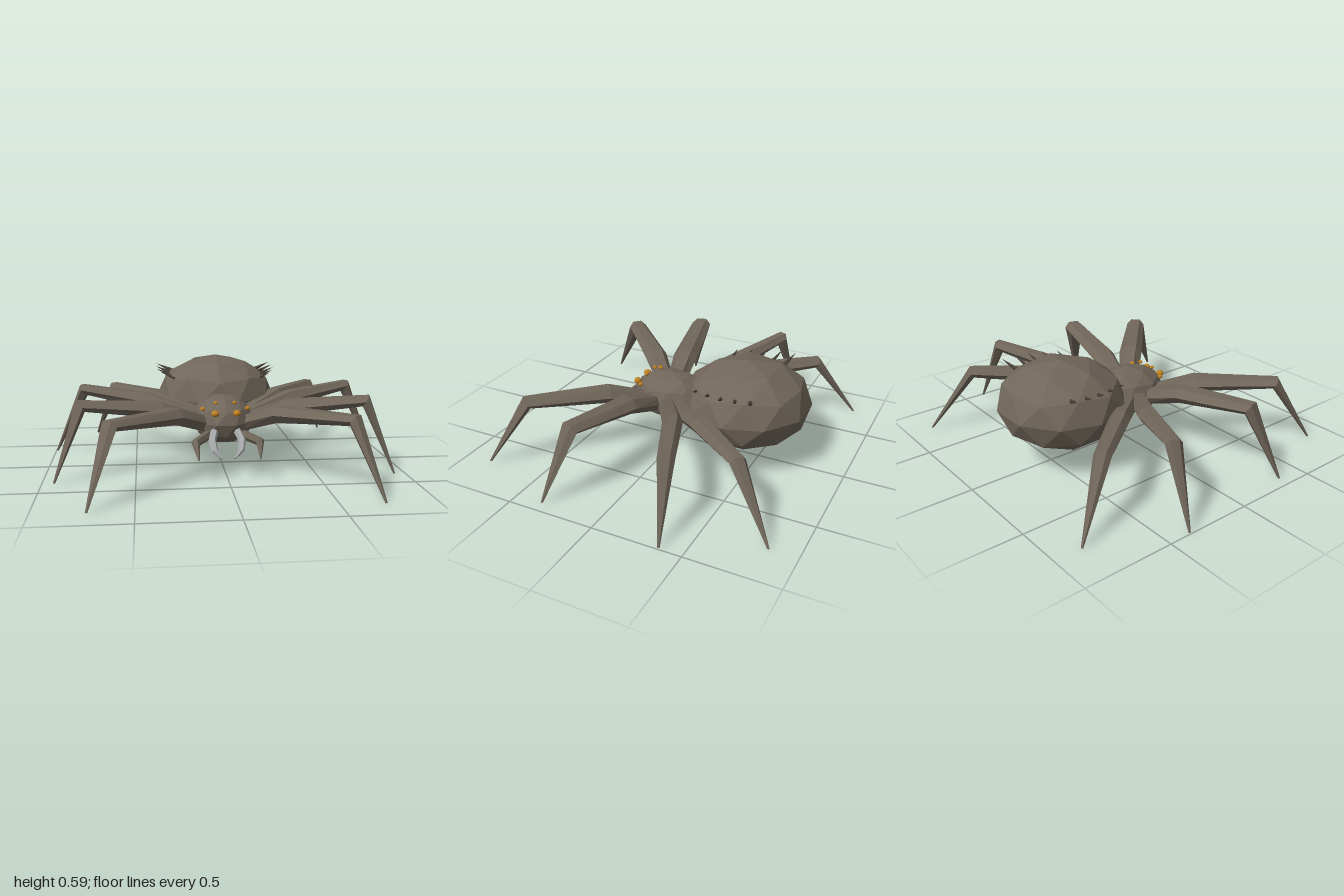
import * as THREE from 'three';

const mat = (name, color) => {
  const m = new THREE.MeshStandardMaterial({ color, flatShading: true });
  m.name = name;
  return m;
};

// Faceted ellipsoid with a vertex straight up and another row pointing forward
function facetedBall(detail, rx, ry, rz) {
  const g = new THREE.IcosahedronGeometry(1, detail);
  g.rotateZ(Math.atan(2 / (1 + Math.sqrt(5))));
  g.rotateY(Math.PI / 2);
  g.scale(rx, ry, rz);
  g.computeVertexNormals();
  return g;
}

// Tapered limb: one polygonal ring per joint, mitred at the bends.
// Each joint is [x, y, z, halfWidth, halfHeight].
function limb(joints, sides) {
  const pts = joints.map(j => new THREE.Vector3(j[0], j[1], j[2]));
  const n = pts.length;
  const flat = pts[n - 1].clone().sub(pts[0]).setY(0).normalize();
  const side = flat.cross(new THREE.Vector3(0, 1, 0));
  const pos = [];
  const index = [];
  pts.forEach((p, i) => {
    const before = p.clone().sub(pts[Math.max(i - 1, 0)]).normalize();
    const after = pts[Math.min(i + 1, n - 1)].clone().sub(p).normalize();
    const up = side.clone().cross(before.add(after).normalize()).normalize();
    for (let k = 0; k < sides; k++) {
      const a = (k / sides) * Math.PI * 2;
      const v = p.clone()
        .addScaledVector(side, Math.cos(a) * joints[i][3])
        .addScaledVector(up, Math.sin(a) * joints[i][4]);
      pos.push(v.x, v.y, v.z);
    }
  });
  for (let i = 0; i < n - 1; i++) {
    for (let k = 0; k < sides; k++) {
      const a = i * sides + k;
      const b = i * sides + (k + 1) % sides;
      index.push(a, a + sides, b + sides, a, b + sides, b);
    }
  }
  // End caps
  const last = (n - 1) * sides;
  for (let k = 1; k < sides - 1; k++) {
    index.push(0, k, k + 1, last, last + k + 1, last + k);
  }
  const g = new THREE.BufferGeometry();
  g.setAttribute('position', new THREE.Float32BufferAttribute(pos, 3));
  g.setIndex(index);
  const out = g.toNonIndexed();
  out.computeVertexNormals();
  return out;
}

export function createModel() {
  const model = new THREE.Group();
  model.name = 'spider';
  const brown = mat('brown shell', 0x70665a);
  const dark = mat('dark bristle', 0x4a4239);
  const amber = mat('amber eye', 0xc08020);
  const silver = mat('silver fang', 0xa6a8aa);

  const add = (name, geometry, material, x = 0, y = 0, z = 0) => {
    const mesh = new THREE.Mesh(geometry, material);
    mesh.name = name;
    mesh.position.set(x, y, z);
    model.add(mesh);
    return mesh;
  };

  // Body
  add('abdomen', facetedBall(1, 0.365, 0.245, 0.36), brown, 0, 0.342, -0.415);
  add('headThorax', facetedBall(1, 0.175, 0.14, 0.22), brown, 0, 0.28, 0.06);

  // Hip, thigh, knee and foot of each leg, front to back
  const legs = [
    [[0.09, 0.26, 0.13, 0.05, 0.05], [0.29, 0.35, 0.315, 0.07, 0.05],
      [0.62, 0.375, 0.63, 0.055, 0.035], [0.73, 0.003, 0.84, 0.006, 0.006]],
    [[0.1, 0.26, 0.09, 0.05, 0.05], [0.365, 0.355, 0.145, 0.075, 0.05],
      [0.79, 0.4, 0.235, 0.06, 0.038], [0.935, 0.003, 0.342, 0.006, 0.006]],
    [[0.1, 0.26, 0.04, 0.05, 0.05], [0.43, 0.35, -0.165, 0.055, 0.05],
      [0.81, 0.395, -0.325, 0.045, 0.038], [0.992, 0.003, -0.373, 0.006, 0.006]],
    [[0.09, 0.26, 0.01, 0.05, 0.05], [0.37, 0.345, -0.3, 0.058, 0.05],
      [0.635, 0.355, -0.62, 0.046, 0.036], [0.77, 0.003, -0.848, 0.006, 0.006]],
  ];
  const palp = [[0.09, 0.22, 0.2, 0.026, 0.026], [0.175, 0.205, 0.345, 0.024, 0.026],
    [0.165, 0.135, 0.443, 0.004, 0.004]];
  const fang = [[0.06, 0.25, 0.23, 0.024, 0.022], [0.082, 0.205, 0.305, 0.022, 0.02],
    [0.072, 0.16, 0.355, 0.018, 0.016], [0.035, 0.125, 0.385, 0.005, 0.005]];
  const eyes = [[0.06, 0.345, 0.25, 0.022], [0.052, 0.395, 0.195, 0.012],
    [0.125, 0.362, 0.195, 0.014]];

  for (const s of [1, -1]) {
    const tag = s > 0 ? 'left' : 'right';
    const mirror = joints => joints.map(([x, ...rest]) => [x * s, ...rest]);

    legs.forEach((leg, i) => add(`${tag}Leg${i + 1}`, limb(mirror(leg), 6), brown));
    add(`${tag}Feeler`, limb(mirror(palp), 6), brown);
    add(`${tag}Fang`, limb(mirror(fang), 6), silver);
    eyes.forEach(([x, y, z, r], i) =>
      add(`${tag}Eye${i + 1}`, facetedBall(1, r, r * 0.85, r), amber, x * s, y, z));

    // Row of bristles that grow longer toward the back
    for (let i = 0; i < 5; i++) {
      const t = i / 4;
      const length = 0.06 + 0.06 * t;
      const cone = new THREE.ConeGeometry(0.009 + 0.006 * t, length, 5);
      cone.translate(0, length / 2, 0);
      const z = -0.22 - 0.31 * t;
      const x = 0.26 + 0.025 * Math.sin(t * Math.PI);
      const bristle = add(`${tag}Bristle${i + 1}`, cone, dark, x * s, 0.47, z);
      const aim = new THREE.Vector3(s, 0.42, -0.1 - 0.25 * t).normalize();
      bristle.quaternion.setFromUnitVectors(new THREE.Vector3(0, 1, 0), aim);
    }
  }
  return model;
}
